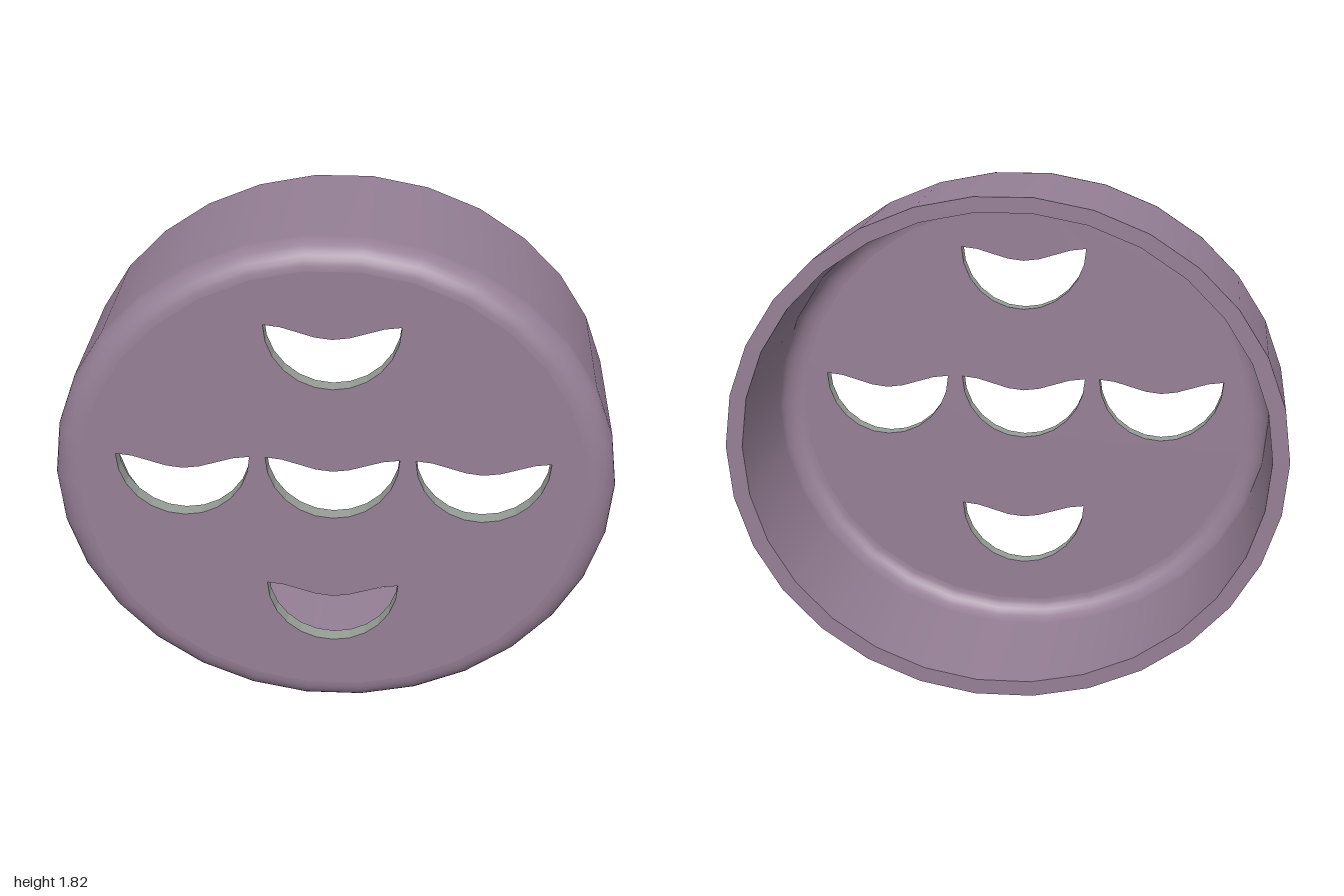
import * as THREE from 'three';

const SIDES = 30, RY = 0.915, CY = 0.91;
const FRONT = 0.365, BACK = -0.365, WALL = 0.06;
const OUT_FILLET = 0.1, IN_FILLET = 0.08;

// Quarter-round from the side wall (radius r) to the flat face at depth z
function fillet(r, z, f) {
  const pts = [];
  for (let i = 0; i <= 8; i++) {
    const a = (i / 8) * Math.PI / 2;
    pts.push(new THREE.Vector2(r - f + f * Math.cos(a), z - f + f * Math.sin(a)));
  }
  return pts;
}

// Revolve a (radius, depth) profile about z, squashed slightly in height
function ring(points) {
  return new THREE.LatheGeometry(points, SIDES, Math.PI / 2).rotateX(Math.PI / 2).scale(1, RY, 1);
}

// Bowl-shaped opening, counter-clockwise: round bottom, sagging top
function openingOutline(cx, cy) {
  const pts = [], r = 0.237, n = 12;
  for (let i = 0; i <= n; i++) {
    const a = Math.PI + (i / n) * Math.PI;
    pts.push(new THREE.Vector2(cx + r * Math.cos(a), cy + r * Math.sin(a)));
  }
  for (let i = 1; i < 8; i++) {
    const t = 1 - i / 4;
    pts.push(new THREE.Vector2(cx + r * t, cy - 0.025 * (1 + Math.cos(Math.PI * t))));
  }
  return pts;
}

// Flat disc with the openings cut out
function plate(radius, outlines) {
  const rim = [];
  for (let i = 0; i < SIDES; i++) {
    const a = (i / SIDES) * Math.PI * 2;
    rim.push(new THREE.Vector2(radius * Math.cos(a), radius * RY * Math.sin(a)));
  }
  const shape = new THREE.Shape(rim);
  shape.holes = outlines.map((o) => new THREE.Path(o));
  return new THREE.ShapeGeometry(shape);
}

// Inward-facing band through the thickness of the front plate
function openingWall(outline) {
  const pos = [], zf = FRONT, zb = FRONT - WALL;
  outline.forEach((a, i) => {
    const b = outline[(i + 1) % outline.length];
    pos.push(a.x, a.y, zf, b.x, b.y, zf, b.x, b.y, zb);
    pos.push(a.x, a.y, zf, b.x, b.y, zb, a.x, a.y, zb);
  });
  const geo = new THREE.BufferGeometry();
  geo.setAttribute('position', new THREE.Float32BufferAttribute(pos, 3));
  geo.computeVertexNormals();
  return geo;
}

export function createModel() {
  const model = new THREE.Group();
  model.name = 'roundCover';
  const body = new THREE.MeshStandardMaterial({ color: 0x957f95 });
  const cut = new THREE.MeshStandardMaterial({ color: 0x989f98 });
  const add = (name, geo, mat = body) => {
    const mesh = new THREE.Mesh(geo, mat);
    mesh.name = name;
    mesh.position.y = CY;
    model.add(mesh);
    return mesh;
  };

  // Shell: outer wall, inner wall and the open back rim
  const rIn = 1 - WALL, zIn = FRONT - WALL;
  add('outerWall', ring([new THREE.Vector2(1, BACK), ...fillet(1, FRONT, OUT_FILLET)]));
  add('innerWall', ring([...fillet(rIn, zIn, IN_FILLET).reverse(), new THREE.Vector2(rIn, BACK)]));
  add('backRim', ring([new THREE.Vector2(rIn, BACK), new THREE.Vector2(1, BACK)]));

  // Five openings arranged in a cross
  const centres = [[0, 0], [-0.53, 0], [0.53, 0], [0, 0.505], [0, -0.51]];
  const outlines = centres.map(([x, y]) => openingOutline(x, y + 0.117));

  // Front plate, outside and inside faces
  add('frontFace', plate(1 - OUT_FILLET, outlines).translate(0, 0, FRONT));
  add('insideFace', plate(rIn - IN_FILLET, outlines).rotateY(Math.PI).translate(0, 0, zIn));
  outlines.forEach((o, i) => add('openingWall' + (i + 1), openingWall(o), cut));

  return model;
}
